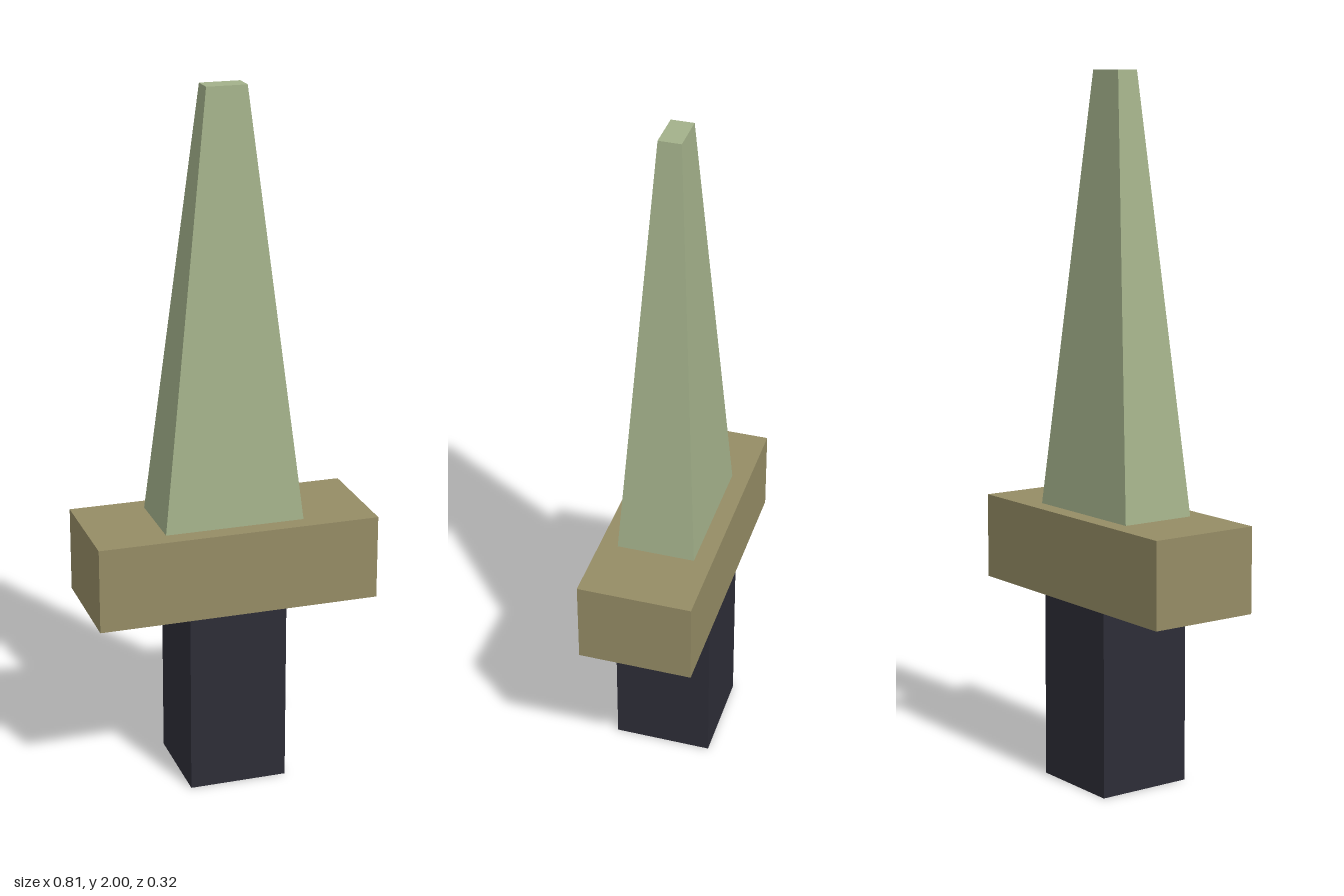
import * as THREE from 'three';

export function createModel() {
  const group = new THREE.Group();
  group.name = 'dagger';

  const material = (name, color) => {
    const m = new THREE.MeshStandardMaterial({ color });
    m.name = name;
    return m;
  };
  const darkGrip = material('dark grip', 0x2d2d37);
  const bronze = material('bronze', 0x958c65);
  const paleGreen = material('pale green', 0xa3b18a);

  // Box standing on y0, with its top scaled by taper
  const addBlock = (name, mat, width, depth, y0, y1, taper = 1) => {
    const geometry = new THREE.BoxGeometry(width, y1 - y0, depth);
    const pos = geometry.attributes.position;
    for (let i = 0; i < pos.count; i++) {
      if (pos.getY(i) > 0) {
        pos.setX(i, pos.getX(i) * taper);
        pos.setZ(i, pos.getZ(i) * taper);
      }
    }
    geometry.computeVertexNormals();
    const mesh = new THREE.Mesh(geometry, mat);
    mesh.name = name;
    mesh.position.y = (y0 + y1) / 2;
    group.add(mesh);
  };

  addBlock('grip', darkGrip, 0.284, 0.284, 0, 0.535);
  addBlock('guard', bronze, 0.814, 0.325, 0.535, 0.779);
  // Blade narrows to a blunt tip
  addBlock('blade', paleGreen, 0.403, 0.222, 0.779, 2, 0.286);

  return group;
}
